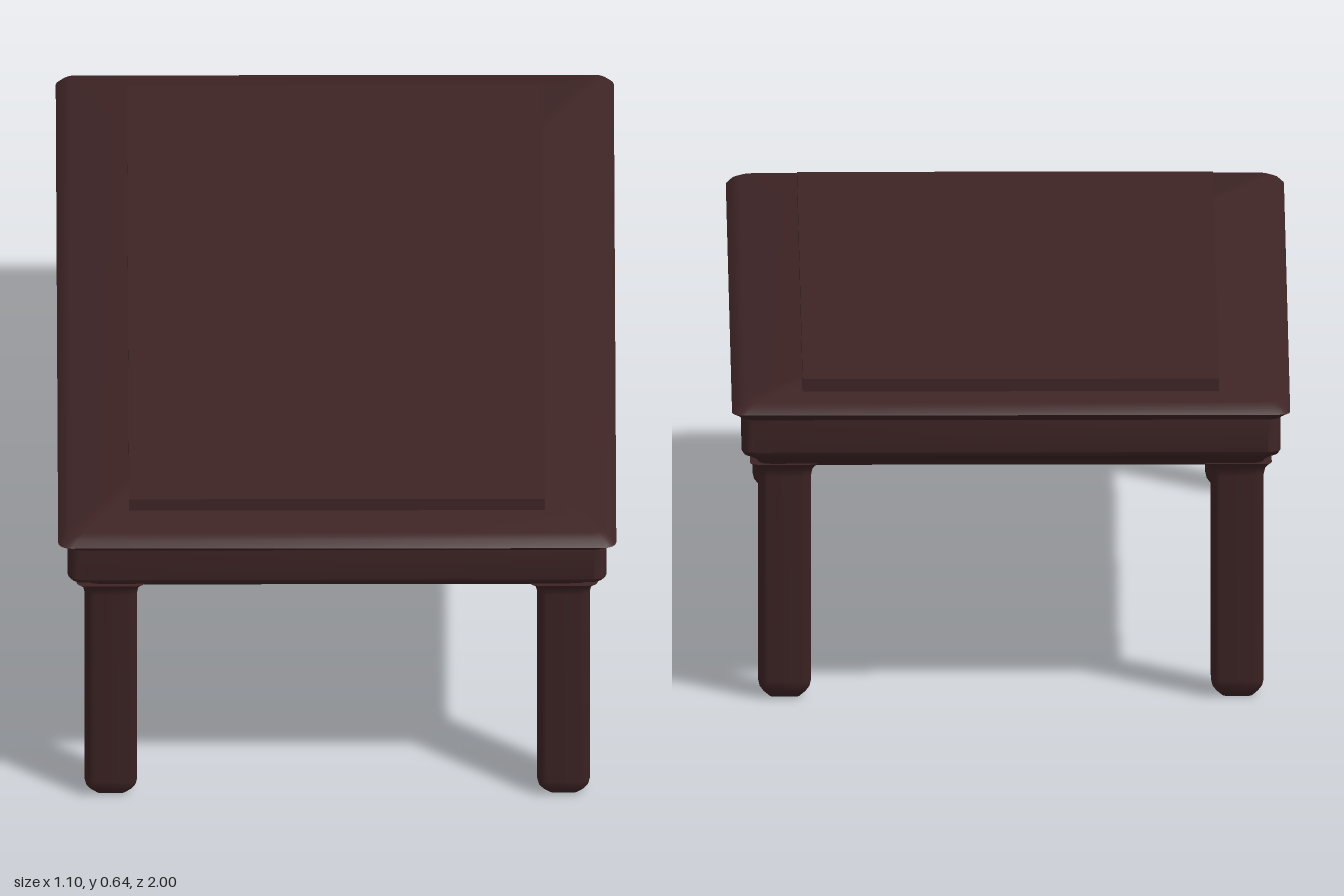
import * as THREE from 'three';
import { toCreasedNormals } from 'three/addons/utils/BufferGeometryUtils.js';

// Outline of a rounded rectangle at one height
function ring([y, hx, hz, r], steps = 4) {
  const pts = [];
  for (let q = 0; q < 4; q++) {
    const sx = q === 0 || q === 3 ? 1 : -1;
    const sz = q < 2 ? 1 : -1;
    for (let i = 0; i <= steps; i++) {
      const a = (q + i / steps) * Math.PI / 2;
      pts.push([sx * (hx - r) + r * Math.cos(a), y, sz * (hz - r) + r * Math.sin(a)]);
    }
  }
  return pts;
}

// Closed solid through sections [y, halfX, halfZ, cornerRadius], bottom to top
function loft(sections, crease = 0.6) {
  const rings = sections.map((s) => ring(s));
  const n = rings[0].length;
  const last = rings.length - 1;
  const pos = [];
  const tri = (a, b, c) => pos.push(...a, ...b, ...c);
  for (let j = 0; j < n; j++) {
    const k = (j + 1) % n;
    for (let i = 0; i < last; i++) {
      tri(rings[i][j], rings[i + 1][j], rings[i][k]);
      tri(rings[i][k], rings[i + 1][j], rings[i + 1][k]);
    }
    tri([0, sections[0][0], 0], rings[0][j], rings[0][k]);
    tri([0, sections[last][0], 0], rings[last][k], rings[last][j]);
  }
  const g = new THREE.BufferGeometry();
  g.setAttribute('position', new THREE.Float32BufferAttribute(pos, 3));
  return toCreasedNormals(g, crease);
}

export function createModel() {
  const model = new THREE.Group();
  const wood = new THREE.MeshStandardMaterial({ color: 0x3e2425 });
  wood.name = 'dark wood';
  const add = (name, geometry, parent = model) => {
    const mesh = new THREE.Mesh(geometry, wood);
    mesh.name = name;
    parent.add(mesh);
    return mesh;
  };

  // Apron with a cove curving in towards the legs
  add('apron', loft([
    [0.475, 0.496, 0.928, 0.025],
    [0.485, 0.502, 0.938, 0.025],
    [0.496, 0.515, 0.958, 0.025],
    [0.503, 0.526, 0.974, 0.025],
    [0.512, 0.531, 0.98, 0.025],
    [0.58, 0.531, 0.98, 0.025],
  ]));

  // Table top with a pointed moulded rim
  add('tableTop', loft([
    [0.576, 0.529, 0.978, 0.025],
    [0.582, 0.535, 0.985, 0.025],
    [0.592, 0.55, 1, 0.025],
    [0.605, 0.538, 0.99, 0.025],
    [0.613, 0.523, 0.973, 0.025],
  ]));

  // Raised centre panel
  const panel = add('raisedPanel', new THREE.BoxGeometry(0.82, 0.03, 1.762));
  panel.position.set(0, 0.623, -0.003);

  // Legs with rounded feet and a small flare under the apron
  const legGeometry = loft([
    [0, 0.03, 0.025, 0.012],
    [0.012, 0.042, 0.037, 0.016],
    [0.022, 0.049, 0.043, 0.018],
    [0.035, 0.052, 0.046, 0.018],
    [0.45, 0.052, 0.046, 0.018],
    [0.464, 0.055, 0.049, 0.018],
    [0.472, 0.061, 0.055, 0.018],
    [0.478, 0.068, 0.06, 0.018],
  ]);
  const legs = new THREE.Group();
  legs.name = 'legs';
  model.add(legs);
  for (const [side, x] of [['Left', 0.446], ['Right', -0.446]]) {
    for (const [end, z] of [['front', 0.882], ['back', -0.88]]) {
      add(`${end}${side}Leg`, legGeometry, legs).position.set(x, 0, z);
    }
  }
  return model;
}
